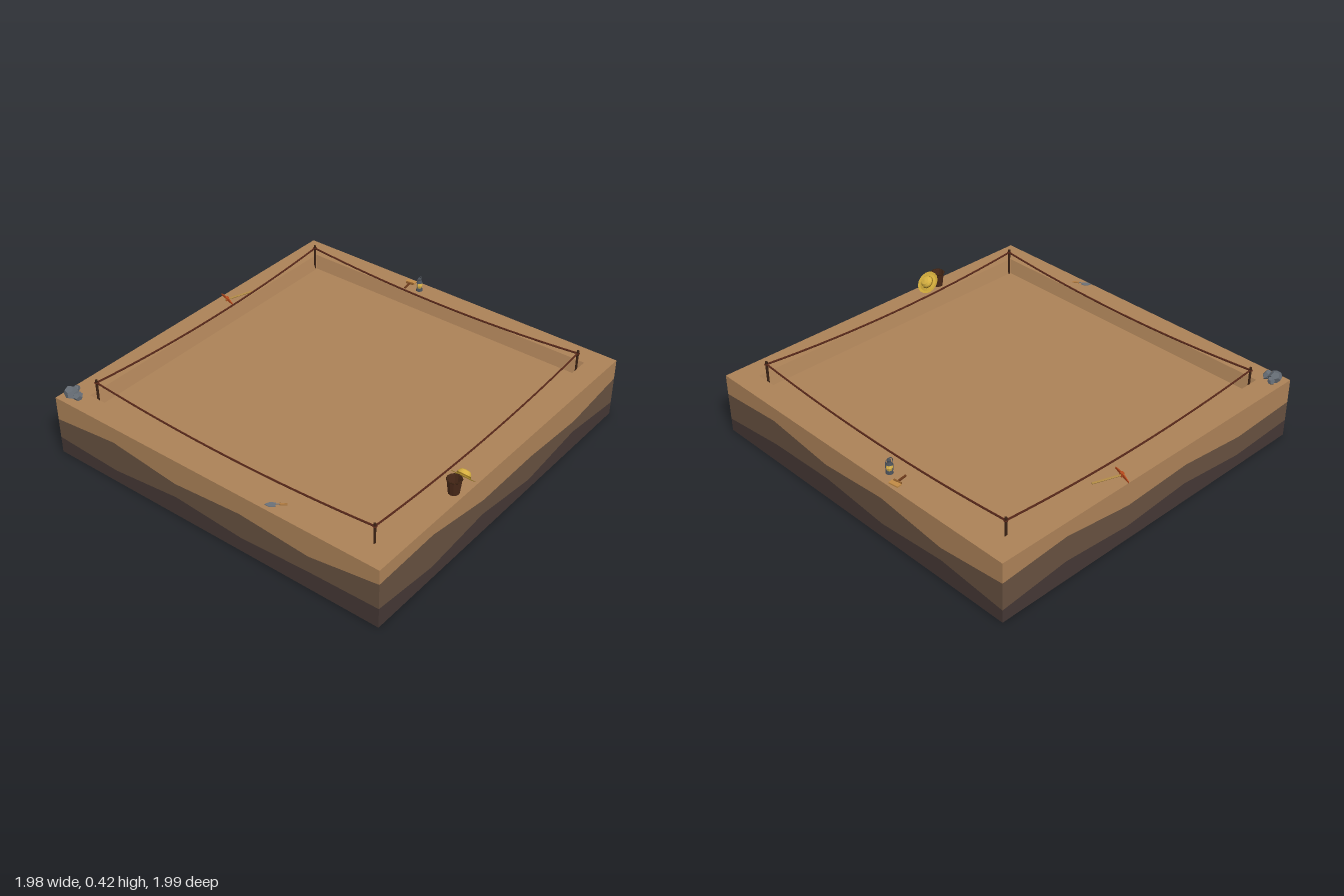
import * as THREE from 'three';

const HALF = 0.988, TOP = 0.33, RIM = 0.87, FLOOR = 0.26, FLOOR_HALF = 0.845;
const SOIL = 0xab8157;

function mat(color, extra = {}) {
  const m = new THREE.MeshStandardMaterial({ color, flatShading: true });
  return Object.assign(m, extra);
}

function add(parent, name, geo, color, pos = [0, 0, 0], extra) {
  const mesh = new THREE.Mesh(geo, mat(color, extra));
  mesh.name = name;
  mesh.position.set(...pos);
  parent.add(mesh);
  return mesh;
}

function group(parent, name, pos = [0, 0, 0]) {
  const g = new THREE.Group();
  g.name = name;
  g.position.set(...pos);
  parent.add(g);
  return g;
}

// Vertical band between two height lists, on the plane z = HALF
function band(low, high) {
  const xs = [-HALF, -0.6, -0.2, 0.2, 0.6, HALF], v = [];
  for (let i = 0; i < 5; i++) {
    const a = [xs[i], low[i], HALF], b = [xs[i + 1], low[i + 1], HALF];
    const c = [xs[i + 1], high[i + 1], HALF], d = [xs[i], high[i], HALF];
    v.push(...a, ...b, ...c, ...a, ...c, ...d);
  }
  const g = new THREE.BufferGeometry();
  g.setAttribute('position', new THREE.Float32BufferAttribute(v, 3));
  g.computeVertexNormals();
  return g;
}

function buildEarth(root) {
  const earth = group(root, 'earthBlock', [0, 0, -0.003]);
  // Strata heights: front, right, back, left
  const upper = [
    [0.25, 0.26, 0.195, 0.2, 0.175, 0.22], [0.22, 0.25, 0.2, 0.23, 0.18, 0.22],
    [0.22, 0.25, 0.2, 0.22, 0.18, 0.2], [0.2, 0.24, 0.19, 0.22, 0.19, 0.25]];
  const lower = [
    [0.11, 0.07, 0.11, 0.06, 0.11, 0.07], [0.07, 0.11, 0.12, 0.08, 0.11, 0.07],
    [0.07, 0.11, 0.08, 0.11, 0.07, 0.09], [0.09, 0.07, 0.11, 0.08, 0.1, 0.11]];
  const zero = Array(6).fill(0), full = Array(6).fill(TOP);
  for (let i = 0; i < 4; i++) {
    const side = group(earth, 'strataSide');
    side.rotation.y = i * Math.PI / 2;
    add(side, 'topSoil', band(upper[i], full), SOIL);
    add(side, 'middleSoil', band(lower[i], upper[i]), 0x66503f);
    add(side, 'deepSoil', band(zero, lower[i]), 0x443734);
  }
  // Ground border around the pit
  const square = h => [[-h, -h], [h, -h], [h, h], [-h, h]].map(p => new THREE.Vector2(...p));
  const ground = new THREE.Shape(square(HALF));
  ground.holes.push(new THREE.Path(square(RIM)));
  add(earth, 'groundBorder', new THREE.ShapeGeometry(ground).rotateX(-Math.PI / 2), SOIL, [0, TOP, 0]);
  // Sloped pit walls and floor
  const walls = new THREE.CylinderGeometry(RIM * Math.SQRT2, FLOOR_HALF * Math.SQRT2, TOP - FLOOR, 4, 1, true);
  add(earth, 'pitWalls', walls.rotateY(Math.PI / 4), SOIL, [0, (TOP + FLOOR) / 2, 0], { side: THREE.BackSide });
  add(earth, 'pitFloor', new THREE.PlaneGeometry(FLOOR_HALF * 2, FLOOR_HALF * 2).rotateX(-Math.PI / 2), SOIL, [0, FLOOR, 0]);
  add(earth, 'underside', new THREE.PlaneGeometry(HALF * 2, HALF * 2).rotateX(Math.PI / 2), 0x5a432e);
}

function buildFence(root) {
  const fence = group(root, 'ropeFence');
  const corners = [[-0.836, 0.843], [0.836, 0.843], [0.836, -0.855], [-0.836, -0.855]];
  corners.forEach(([x, z], i) => {
    add(fence, 'post', new THREE.CylinderGeometry(0.007, 0.006, 0.15, 6), 0x3a2214, [x, 0.335, z]);
    const [x2, z2] = corners[(i + 1) % 4];
    // Rope sagging between neighbouring posts
    const curve = new THREE.QuadraticBezierCurve3(
      new THREE.Vector3(x, 0.394, z),
      new THREE.Vector3((x + x2) / 2, 0.314, (z + z2) / 2),
      new THREE.Vector3(x2, 0.394, z2));
    add(fence, 'rope', new THREE.TubeGeometry(curve, 16, 0.005, 6), 0x542618);
    add(fence, 'ropeKnot', new THREE.TorusGeometry(0.008, 0.004, 5, 8).rotateX(Math.PI / 2), 0x542618, [x, 0.394, z]);
  });
}

function buildRocks(root) {
  const rocks = group(root, 'rocks');
  [[-0.93, 0.352, -0.938, 0.037, 0.4], [-0.925, 0.345, -0.897, 0.026, 1.3], [-0.892, 0.349, -0.945, 0.021, 2.1]]
    .forEach(([x, y, z, r, turn]) => {
      const rock = add(rocks, 'rock', new THREE.DodecahedronGeometry(r), 0x646b73, [x, y, z]);
      rock.scale.set(1.1, 0.85, 1);
      rock.rotation.set(turn, turn * 2, 0);
    });
}

function lathe(points, sides) {
  return new THREE.LatheGeometry(points.map(p => new THREE.Vector2(...p)), sides);
}

function buildBucketAndHat(root) {
  const bucket = group(root, 'bucket', [-0.378, TOP, 0.935]);
  add(bucket, 'bucketBody', lathe([[0, 0], [0.027, 0], [0.036, 0.078], [0.032, 0.078], [0.025, 0.008], [0, 0.008]], 12), 0x482818);
  add(bucket, 'bucketRim', new THREE.TorusGeometry(0.036, 0.003, 5, 12).rotateX(Math.PI / 2), 0x38200f, [0, 0.077, 0]);

  // Straw hat leaning on the bucket
  const hat = group(root, 'strawHat', [-0.303, 0.374, 0.932]);
  hat.rotation.z = -Math.PI / 4;
  add(hat, 'hatBrim', lathe([[0.033, 0.003], [0.05, -0.002], [0.064, 0]], 18), 0xcfa93a, [0, 0, 0], { side: THREE.DoubleSide });
  add(hat, 'hatCrown', lathe([[0.034, 0], [0.032, 0.016], [0.022, 0.029], [0, 0.033]], 18), 0xd6b040, [0, 0, 0], { side: THREE.DoubleSide });
  add(hat, 'hatBand', new THREE.CylinderGeometry(0.0345, 0.0355, 0.007, 18, 1, true), 0x8a6a1c, [0, 0.006, 0], { side: THREE.DoubleSide });
}

function buildLantern(root) {
  const lantern = group(root, 'lantern', [0.92, TOP, -0.192]);
  const metal = 0x4a5058;
  add(lantern, 'lanternBase', new THREE.CylinderGeometry(0.015, 0.019, 0.016, 8), metal, [0, 0.008, 0]);
  add(lantern, 'lanternGlass', lathe([[0.012, 0], [0.017, 0.016], [0.012, 0.032]], 8), 0xd9b24a, [0, 0.016, 0]);
  add(lantern, 'lanternCap', new THREE.CylinderGeometry(0.008, 0.017, 0.014, 8), metal, [0, 0.055, 0]);
  add(lantern, 'lanternChimney', new THREE.CylinderGeometry(0.01, 0.008, 0.01, 8), metal, [0, 0.067, 0]);
  for (const s of [-1, 1]) add(lantern, 'lanternBar', new THREE.CylinderGeometry(0.002, 0.002, 0.055, 5), metal, [s * 0.021, 0.034, 0]);
  add(lantern, 'lanternHandle', new THREE.TorusGeometry(0.021, 0.002, 5, 10, Math.PI), metal, [0, 0.061, 0]);
}

function buildTools(root) {
  // Flat brush beside the lantern
  const brush = group(root, 'brush', [0.93, TOP, -0.27]);
  brush.rotation.y = 0.15;
  add(brush, 'brushHandle', new THREE.BoxGeometry(0.055, 0.007, 0.009), 0x6b3a1c, [-0.018, 0.005, 0]);
  add(brush, 'brushFerrule', new THREE.BoxGeometry(0.01, 0.009, 0.044), 0x8a5a2a, [0.012, 0.005, 0]);
  add(brush, 'bristles', new THREE.BoxGeometry(0.026, 0.007, 0.054), 0xc08a45, [0.029, 0.004, 0]);

  // Trowel with a diamond blade
  const trowel = group(root, 'trowel', [-0.952, TOP + 0.008, 0.365]);
  trowel.rotation.y = 0.6;
  const blade = new THREE.Shape([[0, 0.034], [0.017, 0.008], [0.012, -0.016], [-0.012, -0.016], [-0.017, 0.008]].map(p => new THREE.Vector2(...p)));
  add(trowel, 'trowelBlade', new THREE.ExtrudeGeometry(blade, { depth: 0.003, bevelEnabled: false }).rotateX(-Math.PI / 2), 0x6a7078);
  add(trowel, 'trowelNeck', new THREE.CylinderGeometry(0.003, 0.003, 0.022, 6).rotateX(Math.PI / 2), 0x6a7078, [0, 0.006, 0.025]);
  add(trowel, 'trowelHandle', new THREE.CylinderGeometry(0.005, 0.006, 0.035, 6).rotateX(Math.PI / 2), 0xa8763f, [0, 0.007, 0.051]);

  // Pickaxe lying on the back edge
  const pick = group(root, 'pickaxe', [0.192, TOP + 0.012, -0.937]);
  pick.rotation.y = -0.34;
  add(pick, 'pickHandle', new THREE.CylinderGeometry(0.005, 0.005, 0.165, 6).rotateZ(Math.PI / 2), 0xb08a45, [0.07, -0.003, 0]);
  const head = new THREE.BoxGeometry(0.007, 0.02, 0.122, 1, 1, 8);
  const p = head.attributes.position;
  for (let i = 0; i < p.count; i++) {
    const t = Math.abs(p.getZ(i)) / 0.061;
    p.setX(i, p.getX(i) * (1 - 0.5 * t));
    p.setY(i, p.getY(i) * (1 - 0.6 * t) - 0.004 * t * t);
  }
  head.computeVertexNormals();
  add(pick, 'pickHead', head, 0xb84a1c);
  add(pick, 'pickSocket', new THREE.BoxGeometry(0.016, 0.02, 0.016), 0xb84a1c);
}

export function createModel() {
  const root = new THREE.Group();
  root.name = 'digSite';
  buildEarth(root);
  buildFence(root);
  buildRocks(root);
  buildBucketAndHat(root);
  buildLantern(root);
  buildTools(root);
  return root;
}
